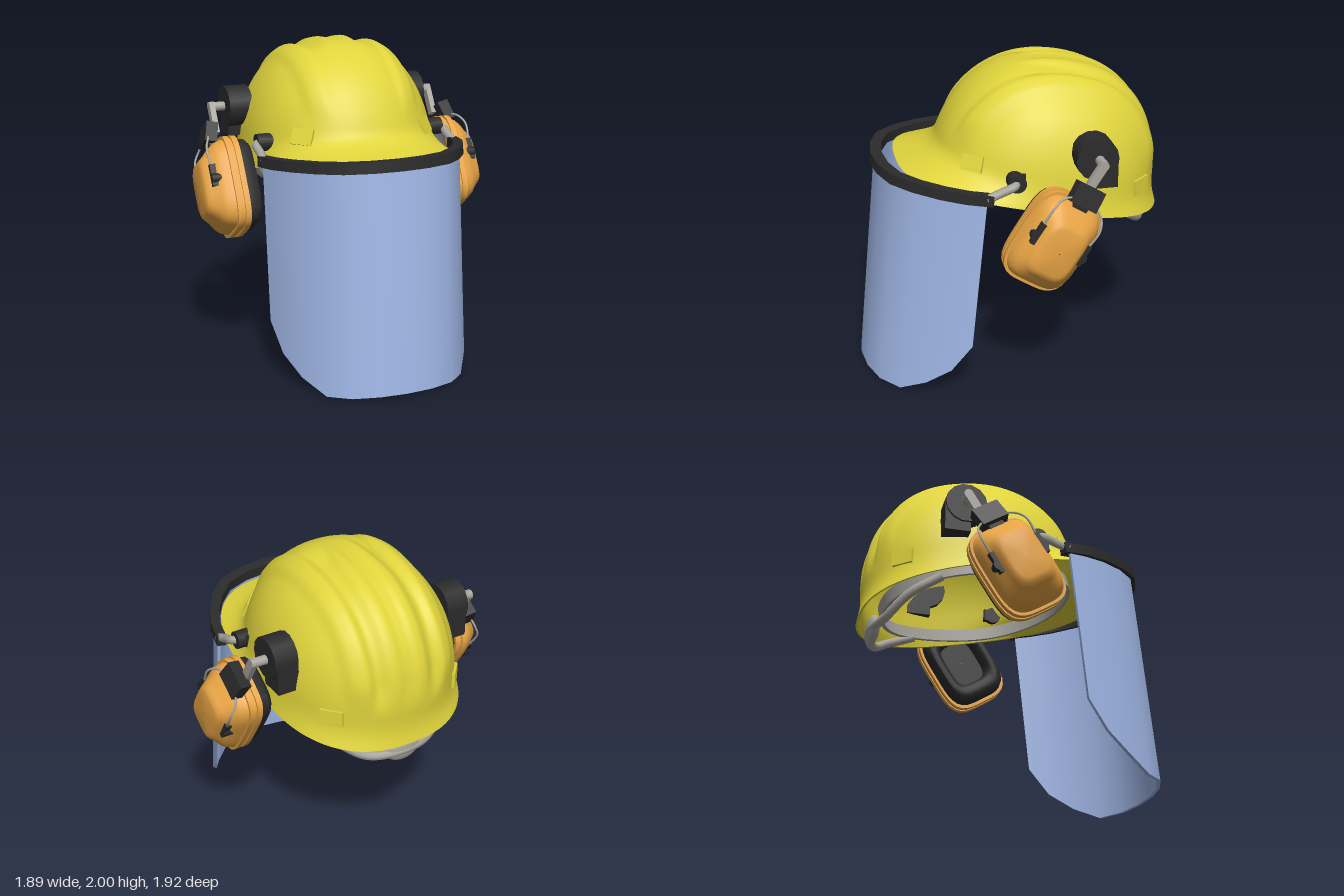
import * as THREE from 'three';
import { mergeVertices, toCreasedNormals } from 'three/addons/utils/BufferGeometryUtils.js';

const mat = (name, color) => Object.assign(new THREE.MeshStandardMaterial({ color }), { name });
const V = (x, y, z) => new THREE.Vector3(x, y, z);
const { smoothstep, clamp, lerp } = THREE.MathUtils;

// Quad grid from f(i, j) -> Vector3, creased above the given angle
function grid(nu, nv, f, crease) {
  const pos = [], index = [];
  for (let i = 0; i <= nu; i++) for (let j = 0; j <= nv; j++) pos.push(...f(i, j).toArray());
  for (let i = 0; i < nu; i++) for (let j = 0; j < nv; j++) {
    const a = i * (nv + 1) + j, b = a + nv + 1;
    index.push(a, b, b + 1, a, b + 1, a + 1);
  }
  const geo = new THREE.BufferGeometry();
  geo.setAttribute('position', new THREE.Float32BufferAttribute(pos, 3));
  geo.setIndex(index);
  return toCreasedNormals(mergeVertices(geo, 1e-5), crease);
}

// Superellipse point, angle measured from the first axis
function oval(a, ra, rb, n) {
  const c = Math.cos(a), s = Math.sin(a);
  const k = (Math.abs(c) ** n + Math.abs(s) ** n) ** (-1 / n);
  return [c * k * ra, s * k * rb];
}

// Mirrored copy of a group across x = 0
function mirrored(group) {
  const copy = group.clone();
  copy.traverse(o => {
    o.position.x *= -1;
    o.rotation.set(o.rotation.x, -o.rotation.y, -o.rotation.z);
    if (!o.isMesh) return;
    const g = (o.geometry.index ? o.geometry.toNonIndexed() : o.geometry.clone());
    for (const key of ['position', 'normal']) {
      const at = g.attributes[key];
      for (let i = 0; i < at.count; i += 3) {
        const p = [0, 2, 1].map(k => V().fromBufferAttribute(at, i + k));
        p.forEach((v, k) => at.setXYZ(i + k, -v.x, v.y, v.z));
      }
    }
    g.deleteAttribute('uv');
    o.geometry = g;
  });
  return copy;
}

// Point on the hard hat in its own frame: a around from the front, phi upward
function shellPoint(a, phi, inset = 0) {
  const front = Math.cos(a) > 0, e = 2 / 2.25;
  const [du, dx] = oval(a, front ? 0.73 : 0.7, 0.605, 2.2);
  const [ru, rx] = oval(a, front ? 0.95 : 0.745, 0.625, front ? 2.8 : 2.4);
  const h = Math.max(0, Math.cos(phi)) ** e, w = Math.max(0, 1 - phi / 0.22) ** 3;
  const p = V(lerp(dx * h, rx, w), 0.795 * Math.sin(phi) ** e, lerp(du * h, ru, w));
  // long side ridges, and valleys that part around the crown ridge toward the back
  const ax = Math.abs(p.x), t = clamp((0.38 - p.z) / 0.5, 0, 1), wide = 0.06 + 0.13 * Math.sqrt(t);
  const side = smoothstep(ax, 0.2, 0.27) * (1 - smoothstep(ax, 0.32, 0.39));
  const valley = smoothstep(ax, wide * 0.55, wide) * (1 - smoothstep(ax, 0.2, 0.26));
  const groove = 1 - smoothstep(ax, 0.02, 0.08);
  const fade = smoothstep(t, 0, 0.5);
  const bump = (0.018 * side - (0.026 * valley + 0.012 * groove) * fade) * smoothstep(phi, 0.22, 0.5);
  const len = p.length();
  p.multiplyScalar((len + bump) / len * (1 - inset));
  p.z -= 0.03;
  return p;
}

// Half plan of the face shield: x, z, lower edge
const PLAN = [[0, 0.83, -1.39], [0.17, 0.81, -1.392], [0.33, 0.75, -1.395], [0.45, 0.635, -1.395],
  [0.55, 0.49, -1.3], [0.615, 0.35, -1.177], [0.65, 0.2, -0.988]];
const STATIONS = [...PLAN.slice(1).reverse().map(([x, z, y]) => [-x, z, y]), ...PLAN];

// Curved strip following the shield plan, closed and shortened at both ends
function shieldStrip(outer, inner, trim, top, bottomOf) {
  const n = STATIONS.length;
  return grid(n + 1, 4, (i, j) => {
    const [x, z, y] = STATIONS[clamp(i - 1, 0, n - 1)];
    const s = (j % 4 < 2 || i === 0 || i === n + 1) ? outer : inner;
    const cut = i < 2 || i > n - 1 ? trim : 0;
    return V(x * s, j % 4 === 1 || j % 4 === 2 ? top : bottomOf(y), z * s + cut);
  }, 0.6);
}

// Rounded-rectangle sections along x: profile of [x, scale]
function cupGeometry(profile) {
  const n = 48;
  return grid(n, profile.length - 1, (i, j) => {
    const [x, s] = profile[j];
    const [z, y] = oval((i % n) / n * Math.PI * 2, 0.225, 0.305, 4);
    return V(x, -y * s, z * s);
  }, 0.65);
}

export function createModel() {
  const yellow = mat('shellYellow', 0xe0d43c), orange = mat('cupOrange', 0xe6a344);
  const black = mat('blackPlastic', 0x2b2b2b), grey = mat('greyPlastic', 0xa8a59e);
  const blue = mat('shieldBlue', 0xa0b7e6);
  const model = new THREE.Group();
  const add = (parent, name, geo, material, x = 0, y = 0, z = 0) => {
    const m = new THREE.Mesh(geo, material);
    m.name = name;
    m.position.set(x, y, z);
    parent.add(m);
    return m;
  };
  const group = (parent, name, x, y, z, tilt) => {
    const g = new THREE.Group();
    g.name = name;
    g.position.set(x, y, z);
    g.rotation.x = tilt;
    parent.add(g);
    return g;
  };
  const tube = (points, r, n = 24) =>
    new THREE.TubeGeometry(new THREE.CatmullRomCurve3(points.map(p => V(...p))), n, r, 8);
  const rod = (r, len, sides = 20) => new THREE.CylinderGeometry(r, r, len, sides).rotateZ(Math.PI / 2);
  const box = (x, y, z) => new THREE.BoxGeometry(x, y, z);

  // Hard hat: inner lining surface, rim, then outer surface
  const hat = group(model, 'hardHat', 0, 1.206, -0.2, -0.216);
  const N = 200, R = 56;
  add(hat, 'shell', grid(N, 2 * R + 1, (i, j) => {
    const inside = j <= R, t = inside ? (R - j) / R : (j - R - 1) / R;
    return shellPoint((i % N) / N * Math.PI * 2, t ** 1.2 * Math.PI / 2, inside ? 0.02 : 0);
  }, 1), yellow);

  // Headband inside the hat, riding higher at the back
  add(hat, 'headband', grid(64, 4, (i, j) => {
    const s = j % 4 < 2 ? 1 : 0.96;
    const [u, x] = oval((i % 64) / 32 * Math.PI, 0.62 * s, 0.52 * s, 2.2);
    const lift = 0.04 * smoothstep(-u, -0.3, 0.4);
    return V(x, (j % 4 === 1 || j % 4 === 2 ? 0.045 : -0.035) + lift, u);
  }, 0.6), grey);

  // Nape strap and its adjusting knob
  add(model, 'napeStrap', tube([[-0.46, 1.15, -0.52], [-0.38, 1.05, -0.7], [-0.22, 0.945, -0.82],
    [0, 0.945, -0.88], [0.22, 0.945, -0.82], [0.38, 1.05, -0.7], [0.46, 1.15, -0.52]], 0.03, 48), grey);
  const knob = add(model, 'napeKnob', new THREE.SphereGeometry(1, 24, 16), grey, 0, 0.955, -0.862);
  knob.scale.set(0.12, 0.088, 0.042);

  // Face shield with its brow bar
  const shield = group(model, 'faceShield', 0, 1.322, 0, -0.1);
  add(shield, 'shieldSheet', shieldStrip(1, 0.973, 0.04, 0, y => y), blue);
  add(shield, 'browBar', shieldStrip(1.033, 0.945, 0, 0.034, () => -0.032), black);

  // Everything that comes in pairs
  const side = group(model, 'leftSide', 0, 0, 0, 0);

  // Raised accessory slots, flush with the slope of the shell
  const sideHat = group(side, 'slots', 0, 1.206, -0.2, -0.216);
  sideHat.updateWorldMatrix(true, false);
  for (const [name, a] of [['frontSlot', 0.72], ['rearSlot', 2.36]]) {
    const p = shellPoint(a, 0.18);
    const across = shellPoint(a + 0.05, 0.18).sub(shellPoint(a - 0.05, 0.18));
    const normal = across.cross(shellPoint(a, 0.23).sub(shellPoint(a, 0.13))).normalize();
    const slot = add(sideHat, name, box(0.14, 0.1, 0.03), yellow, p.x, p.y, p.z);
    slot.lookAt(sideHat.localToWorld(p.add(normal)));
  }

  // Shield pivot
  add(side, 'shieldPivot', rod(0.055, 0.1), black, 0.575, 1.42, 0.05);
  add(side, 'pivotBlock', box(0.05, 0.08, 0.1), black, 0.55, 1.42, 0.04);
  add(side, 'shieldArm', tube([[0.58, 1.42, 0.05], [0.63, 1.415, 0.07], [0.635, 1.38, 0.16],
    [0.64, 1.35, 0.24]], 0.027), grey);

  // Ear cup mount and arm
  add(side, 'mountDisc', rod(0.13, 0.15, 14), black, 0.602, 1.56, -0.42);
  add(side, 'mountBlock', box(0.135, 0.2, 0.16), black, 0.595, 1.47, -0.47);
  add(side, 'armAxle', rod(0.029, 0.14), grey, 0.71, 1.56, -0.43);
  const arm = add(side, 'armBar', box(0.036, 0.2, 0.055), grey, 0.762, 1.49, -0.385);
  arm.rotation.x = -0.56;
  add(side, 'armKnuckle', rod(0.0275, 0.036), grey, 0.762, 1.565, -0.432);

  // Ear cup
  const cup = group(side, 'earCup', 0, 1.105, -0.128, -0.56);
  add(cup, 'cushion', cupGeometry([[0.69, 0.01], [0.69, 0.5], [0.645, 0.54], [0.615, 0.63], [0.608, 0.72],
    [0.615, 0.82], [0.645, 0.91], [0.7, 0.93]]), black);
  add(cup, 'cupShell', cupGeometry([[0.7, 0.01], [0.7, 1], [0.735, 1], [0.735, 0.96], [0.75, 0.96], [0.75, 1],
    [0.785, 1], [0.785, 0.94], [0.83, 0.89], [0.86, 0.81], [0.885, 0.71], [0.912, 0.63], [0.935, 0.56],
    [0.945, 0.47], [0.946, 0.01]]), orange);
  const slider = add(cup, 'slider', box(0.075, 0.13, 0.18), black, 0.82, 0.35, 0);
  slider.rotation.z = 0.25;
  add(cup, 'sliderNeck', box(0.06, 0.1, 0.1), black, 0.81, 0.285, 0);
  for (const s of [-1, 1]) {
    add(cup, 'wire', tube([[0.84, 0.33, 0.05 * s], [0.865, 0.29, 0.13 * s], [0.895, 0.22, 0.163 * s],
      [0.885, 0.06, 0.158 * s]], 0.007), grey);
    add(cup, 'wireClip', box(0.06, 0.14, 0.04), black, 0.872, 0.04, 0.157 * s);
    add(cup, 'clipPin', rod(0.036, 0.06), black, 0.872, 0.02, 0.157 * s);
  }

  const right = mirrored(side);
  right.name = 'rightSide';
  model.add(right);
  return model;
}
